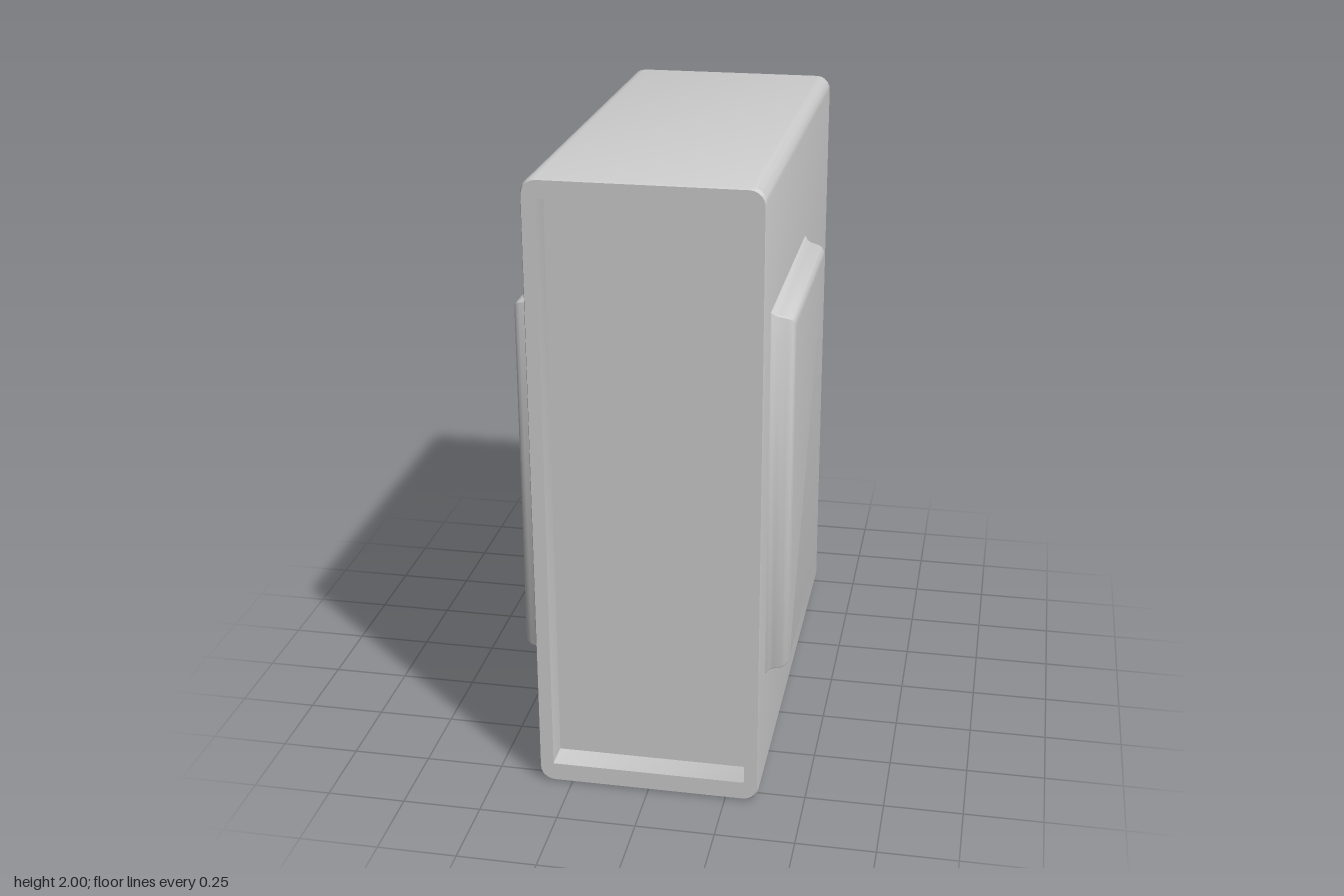
import * as THREE from 'three';
import { toCreasedNormals } from 'three/addons/utils/BufferGeometryUtils.js';

const ARC = 5; // segments per rounded corner

// Rounded rectangle [x0, x1, y0, y1] at height z, counter-clockwise
function ring(x0, x1, y0, y1, r, z) {
  const corners = [[x1 - r, y1 - r], [x0 + r, y1 - r], [x0 + r, y0 + r], [x1 - r, y0 + r]];
  const points = [];
  corners.forEach(([cx, cy], q) => {
    for (let i = 0; i <= ARC; i++) {
      const a = (q + i / ARC) * Math.PI / 2;
      points.push([cx + r * Math.cos(a), cy + r * Math.sin(a), z]);
    }
  });
  return points;
}

// Skin a stack of rings and cap both ends
function loft(rings) {
  const n = rings[0].length;
  const position = rings.flat(2);
  const index = [];
  for (let k = 0; k < rings.length - 1; k++) {
    for (let j = 0; j < n; j++) {
      const a = k * n + j, b = k * n + (j + 1) % n;
      index.push(a, b, b + n, a, b + n, a + n);
    }
  }
  const last = (rings.length - 1) * n;
  for (let j = 1; j < n - 1; j++) {
    index.push(0, j + 1, j);
    index.push(last, last + j, last + j + 1);
  }
  const geometry = new THREE.BufferGeometry();
  geometry.setAttribute('position', new THREE.Float32BufferAttribute(position, 3));
  geometry.setIndex(index);
  return toCreasedNormals(geometry, 0.6);
}

export function createModel() {
  const group = new THREE.Group();
  const material = new THREE.MeshStandardMaterial({ color: 0xcccccc });
  const add = (name, geometry, turn = 0) => {
    const mesh = new THREE.Mesh(geometry, material);
    mesh.name = name;
    mesh.rotation.y = turn;
    group.add(mesh);
    return mesh;
  };

  // Case: rounded back edge, long rounded edges, shallow recess in the front
  const W = 0.356, R = 0.045;
  const rings = [];
  for (let i = 0; i <= ARC; i++) {
    const a = i / ARC * Math.PI / 2;
    const inset = R * (1 - Math.sin(a));
    rings.push(ring(-W + inset, W - inset, inset, 2 - inset, R, -0.78 + R * (1 - Math.cos(a))));
  }
  rings.push(
    ring(-W, W, 0, 2, R, 0.79),
    ring(-W + 0.004, W - 0.004, 0.006, 1.994, R, 0.8),
    ring(-0.31, 0.31, 0.065, 1.94, 0.002, 0.8),
    ring(-0.31, 0.31, 0.065, 1.94, 0.002, 0.71));
  add('case', loft(rings));

  // Raised side panels with a flared foot and softened outer edge:
  // [distance from centre, back z, front z, bottom y, top y, corner radius]
  const profile = [
    [0.345, -0.11, 0.685, 0.398, 1.602, 0.003],
    [0.358, -0.107, 0.683, 0.4, 1.6, 0.003],
    [0.368, -0.09, 0.678, 0.409, 1.591, 0.004],
    [0.38, -0.082, 0.674, 0.413, 1.587, 0.005],
    [0.405, -0.077, 0.671, 0.418, 1.582, 0.006],
    [0.417, -0.071, 0.666, 0.423, 1.577, 0.006],
    [0.424, -0.063, 0.658, 0.431, 1.569, 0.006],
    [0.427, -0.05, 0.645, 0.444, 1.556, 0.006],
  ];
  for (const side of [1, -1]) {
    const panel = profile.map(([d, back, front, y0, y1, r]) => side > 0
      ? ring(-front, -back, y0, y1, r, d)
      : ring(back, front, y0, y1, r, d));
    add(side > 0 ? 'leftPanel' : 'rightPanel', loft(panel), side * Math.PI / 2);
  }

  // Raised bars on the back
  const bar = (name, x, w, y0, y1) => {
    const steps = [[0, 0.77], [0, 0.792], [0.003, 0.798], [0.009, 0.801]];
    add(name, loft(steps.map(([i, d]) =>
      ring(-x - w / 2 + i, -x + w / 2 - i, y0 + i, y1 - i, 0.006, d))), Math.PI);
  };
  for (const i of [-1, 0, 1]) bar('vent' + (i + 2), i * 0.19, 0.09, 0.145, 1.285);
  bar('slot', 0, 0.47, 1.527, 1.573);

  // Round button with a softened rim
  const outline = [[0.07, -0.01], [0.07, 0.007], [0.065, 0.015], [0.055, 0.021], [0.04, 0.0235], [0, 0.025]];
  const button = new THREE.LatheGeometry(outline.map(([r, d]) => new THREE.Vector2(r, d)), 32);
  button.rotateX(-Math.PI / 2);
  add('button', button).position.set(0.172, 1.8, -0.78);

  return group;
}
